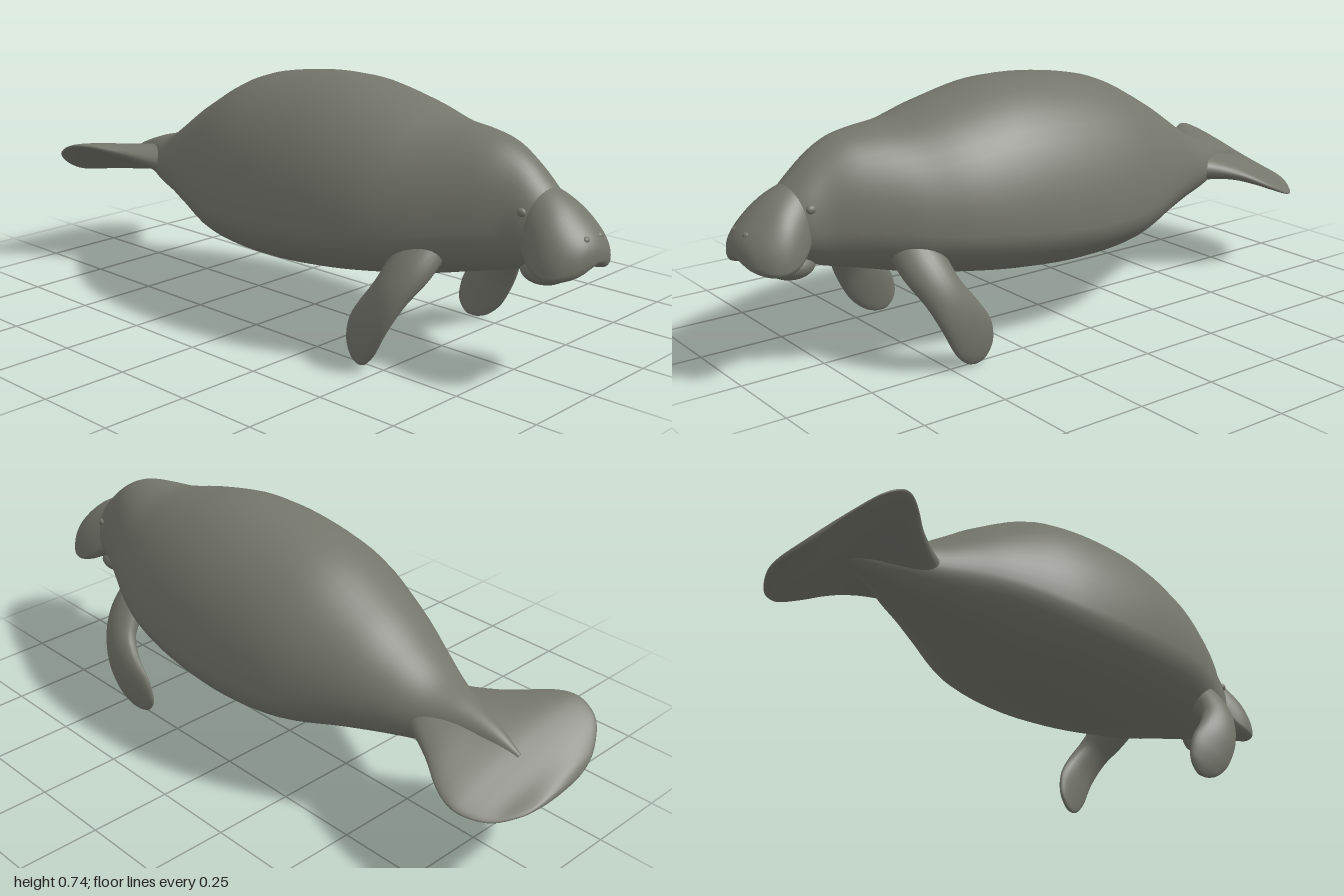
import * as THREE from 'three';

const skin = new THREE.MeshStandardMaterial({ color: 0x74756b });
skin.name = 'grey skin';

// smooth (Catmull-Rom) resampling of a small table of cross-section rows
function resample(rows, steps) {
  const out = [];
  const at = i => rows[Math.min(Math.max(i, 0), rows.length - 1)];
  for (let i = 0; i < rows.length - 1; i++) {
    for (let s = 0; s < steps; s++) {
      const t = s / steps;
      out.push(rows[i].map((b, k) => {
        const a = at(i - 1)[k], c = at(i + 1)[k], d = at(i + 2)[k];
        return b + 0.5 * t * (c - a + t * (2 * a - 5 * b + 4 * c - d + t * (3 * (b - c) + d - a)));
      }));
    }
  }
  out.push(rows[rows.length - 1]);
  return out;
}

// closed skin over rings of points, capped at both ends, always facing outward
function loft(name, rings) {
  const n = rings[0].length, m = rings.length;
  const pts = rings.flat(), idx = [];
  for (let i = 0; i < m - 1; i++) {
    for (let j = 0; j < n; j++) {
      const a = i * n + j, b = i * n + (j + 1) % n;
      idx.push(a, b, b + n, a, b + n, a + n);
    }
  }
  [0, m - 1].forEach((r, end) => {
    const centre = new THREE.Vector3();
    rings[r].forEach(p => centre.addScaledVector(p, 1 / n));
    const c = pts.push(centre) - 1;
    for (let j = 0; j < n; j++) {
      const a = r * n + j, b = r * n + (j + 1) % n;
      if (end) idx.push(c, a, b); else idx.push(c, b, a);
    }
  });
  let volume = 0;
  const cross = new THREE.Vector3();
  for (let i = 0; i < idx.length; i += 3) {
    volume += pts[idx[i]].dot(cross.crossVectors(pts[idx[i + 1]], pts[idx[i + 2]]));
  }
  if (volume < 0) idx.reverse();
  const g = new THREE.BufferGeometry().setFromPoints(pts);
  g.setIndex(idx);
  g.computeVertexNormals();
  const mesh = new THREE.Mesh(g, skin);
  mesh.name = name;
  return mesh;
}

const ring = (n, f) => Array.from({ length: n }, (_, j) => {
  const a = j / n * Math.PI * 2;
  return f(Math.cos(a), Math.sin(a));
});

// egg-shaped ring: widest at a fraction of its height, with an optional notch below
const eggRing = (x, top, bottom, w, low, notch = 0) => ring(48, (c, s) => {
  const mid = bottom + (top - bottom) * low;
  let y = mid + s * (s > 0 ? top - mid : mid - bottom);
  if (s < 0) y += notch * s * s * s * s;
  return new THREE.Vector3(x, y, c * w);
});

// a flipper: x, y, z of the centre, half width, half thickness
const flipperRows = [
  [0.555, 0.36, 0.13, 0.065, 0.05],
  [0.545, 0.295, 0.20, 0.068, 0.046],
  [0.52, 0.23, 0.25, 0.062, 0.037],
  [0.48, 0.16, 0.272, 0.069, 0.029],
  [0.438, 0.093, 0.27, 0.074, 0.022],
  [0.41, 0.045, 0.263, 0.058, 0.015],
  [0.397, 0.02, 0.257, 0.034, 0.009],
  [0.392, 0.010, 0.254, 0.008, 0.004],
];

function flipper(name, side, twist) {
  const rows = resample(flipperRows, 5);
  const centre = r => new THREE.Vector3(r[0], r[1], r[2] * side);
  return loft(name, rows.map((r, i) => {
    const along = centre(rows[Math.min(i + 1, rows.length - 1)])
      .sub(centre(rows[Math.max(i - 1, 0)])).normalize();
    const blade = new THREE.Vector3(0.87, -0.45, twist * side);
    blade.addScaledVector(along, -blade.dot(along)).normalize();
    const flat = new THREE.Vector3().crossVectors(along, blade);
    return ring(24, (c, s) => centre(r).addScaledVector(blade, c * r[3]).addScaledVector(flat, s * r[4]));
  }));
}

function blob(name, position, scale) {
  const mesh = new THREE.Mesh(new THREE.SphereGeometry(1, 24, 16), skin);
  mesh.name = name;
  mesh.position.set(...position);
  mesh.scale.set(...scale);
  return mesh;
}

export function createModel() {
  const model = new THREE.Group();
  model.name = 'manatee';

  // body from tail stem to face: x, top, bottom, half width, height of widest point
  const bodyRows = [
    [-0.88, 0.345, 0.325, 0.008, 0.5],
    [-0.80, 0.39, 0.31, 0.035, 0.5],
    [-0.70, 0.428, 0.295, 0.07, 0.48],
    [-0.60, 0.458, 0.272, 0.118, 0.45],
    [-0.50, 0.52, 0.252, 0.165, 0.42],
    [-0.38, 0.60, 0.228, 0.222, 0.36],
    [-0.20, 0.695, 0.185, 0.29, 0.3],
    [0.0, 0.735, 0.173, 0.317, 0.29],
    [0.20, 0.74, 0.185, 0.313, 0.3],
    [0.38, 0.705, 0.21, 0.285, 0.32],
    [0.52, 0.667, 0.235, 0.235, 0.34],
    [0.62, 0.656, 0.26, 0.187, 0.35],
    [0.70, 0.64, 0.28, 0.147, 0.36],
    [0.77, 0.602, 0.298, 0.112, 0.38],
    [0.83, 0.55, 0.325, 0.092, 0.4],
    [0.88, 0.50, 0.36, 0.06, 0.45],
    [0.91, 0.46, 0.39, 0.02, 0.5],
  ];
  model.add(loft('body', resample(bodyRows, 5).map(r => eggRing(...r))));

  // drooping muzzle with a notched upper lip
  const muzzleRows = [
    [0.775, 0.52, 0.40, 0.03, 0.4, 0],
    [0.80, 0.545, 0.355, 0.075, 0.35, 0.01],
    [0.85, 0.532, 0.315, 0.112, 0.22, -0.03],
    [0.90, 0.505, 0.297, 0.128, 0.2, -0.04],
    [0.945, 0.468, 0.300, 0.117, 0.22, -0.04],
    [0.98, 0.432, 0.318, 0.083, 0.3, -0.03],
    [0.996, 0.405, 0.35, 0.042, 0.4, -0.01],
    [1.0, 0.385, 0.37, 0.01, 0.5, 0],
  ].map(r => [...r.slice(0, 5), -r[5]]);
  model.add(loft('muzzle', resample(muzzleRows, 5).map(r => eggRing(...r))));
  model.add(blob('lowerLip', [0.838, 0.312, 0], [0.068, 0.042, 0.066]));

  // paddle tail, rolled to one side: x, left edge, right edge, height, half thickness, roll
  const tailRows = [
    [-0.54, -0.10, 0.10, 0.36, 0.05, 0],
    [-0.60, -0.122, 0.12, 0.36, 0.052, 0.04],
    [-0.70, -0.172, 0.166, 0.36, 0.04, 0.16],
    [-0.78, -0.217, 0.222, 0.35, 0.03, 0.25],
    [-0.84, -0.230, 0.258, 0.335, 0.025, 0.29],
    [-0.89, -0.212, 0.268, 0.315, 0.021, 0.3],
    [-0.94, -0.172, 0.25, 0.292, 0.018, 0.28],
    [-0.98, -0.115, 0.188, 0.278, 0.014, 0.2],
    [-0.995, -0.07, 0.125, 0.272, 0.01, 0.12],
    [-1.0, -0.02, 0.05, 0.27, 0.004, 0.1],
  ];
  model.add(loft('tailPaddle', resample(tailRows, 5).map(([x, z0, z1, y, t, roll]) =>
    ring(40, (c, s) => {
      const z = (z0 + z1) / 2 + c * (z1 - z0) / 2;
      return new THREE.Vector3(x, y + z * roll + s * t, z);
    }))));

  // paired flippers, eyes and nostrils
  model.add(flipper('nearFlipper', 1, 0.3), flipper('farFlipper', -1, 0.12));
  for (const side of [1, -1]) {
    model.add(blob('eye', [0.815, 0.477, 0.087 * side], [0.014, 0.012, 0.010]));
    model.add(blob('nostril', [0.972, 0.424, 0.03 * side], [0.012, 0.010, 0.012]));
  }
  return model;
}
